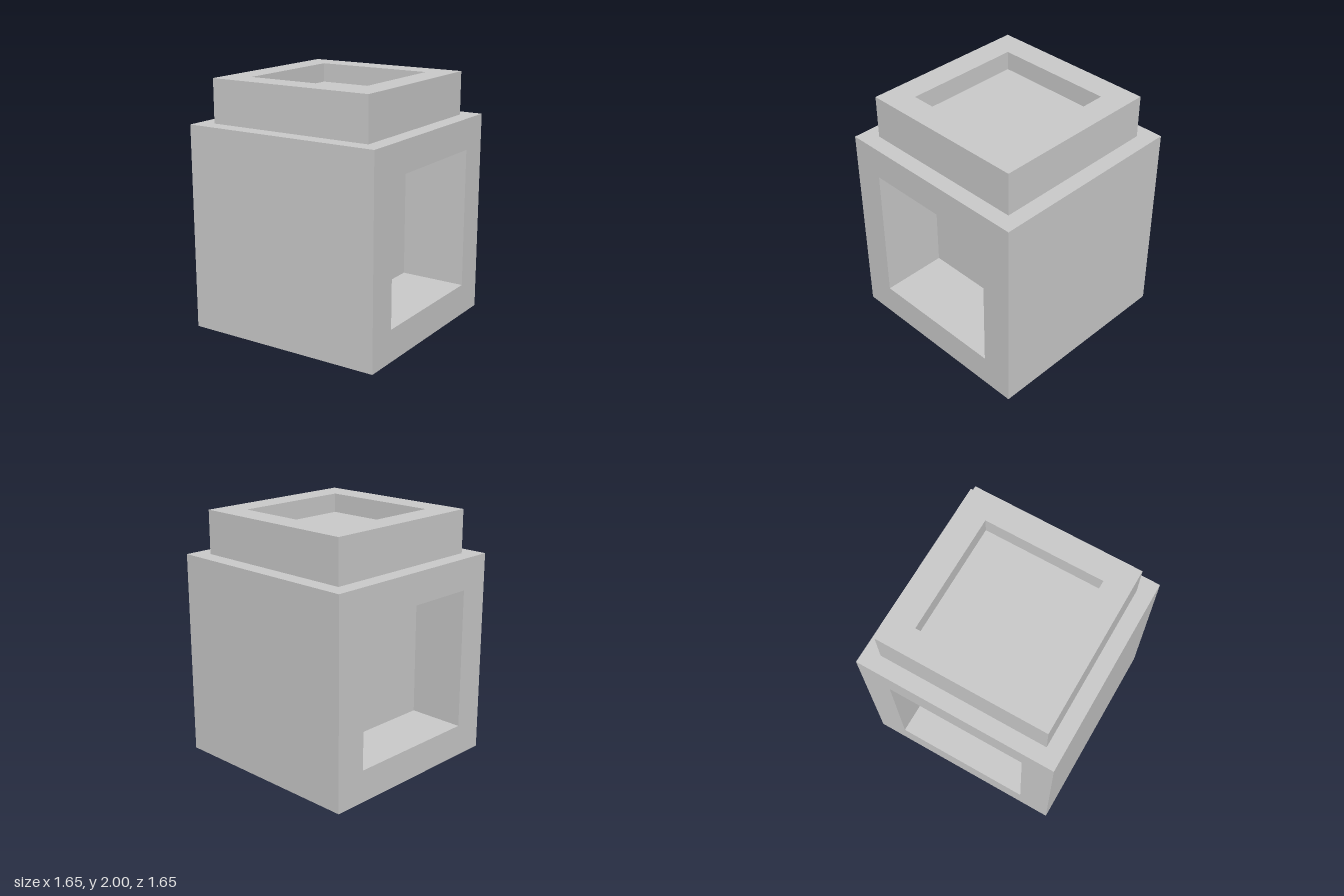
import * as THREE from 'three';

const material = new THREE.MeshStandardMaterial({ color: 0xcccccc, flatShading: true });

// Square frame with a square hole, extruded along z and centred on the origin
function squareFrame(half, holeHalf, depth, holeShift = 0) {
  const shape = new THREE.Shape([
    new THREE.Vector2(-half, -half), new THREE.Vector2(half, -half),
    new THREE.Vector2(half, half), new THREE.Vector2(-half, half),
  ]);
  const h = holeHalf, s = holeShift;
  shape.holes.push(new THREE.Path([
    new THREE.Vector2(-h, s - h), new THREE.Vector2(-h, s + h),
    new THREE.Vector2(h, s + h), new THREE.Vector2(h, s - h),
  ]));
  return new THREE.ExtrudeGeometry(shape, { depth, bevelEnabled: false })
    .translate(0, 0, -depth / 2);
}

export function createModel() {
  const model = new THREE.Group();
  model.name = 'hollowedBlock';

  const add = (name, geometry, x, y, z) => {
    const mesh = new THREE.Mesh(geometry, material);
    mesh.name = name;
    mesh.position.set(x, y, z);
    model.add(mesh);
  };

  const bodySize = 1.65, windowSize = 1.138, windowY = 0.828;
  const neckSize = 1.39, neckHeight = 0.35, wellSize = 0.975, wellDepth = 0.155;

  // Body: a square tube open towards both sides
  add('body',
    squareFrame(bodySize / 2, windowSize / 2, bodySize, windowY - bodySize / 2).rotateY(Math.PI / 2),
    0, bodySize / 2, 0);

  // Thick wall closing the tube: a deeper recess on the left than on the right
  const wallLeft = 0.275, wallRight = -0.355;
  add('innerWall',
    new THREE.BoxGeometry(wallLeft - wallRight, windowSize, windowSize),
    (wallLeft + wallRight) / 2, windowY, 0);

  // Raised collar with a shallow square well
  add('collar',
    squareFrame(neckSize / 2, wellSize / 2, neckHeight).rotateX(-Math.PI / 2),
    0, bodySize + neckHeight / 2, 0);
  const floorHeight = neckHeight - wellDepth;
  add('wellFloor',
    new THREE.BoxGeometry(wellSize, floorHeight, wellSize),
    0, bodySize + floorHeight / 2, 0);

  return model;
}
